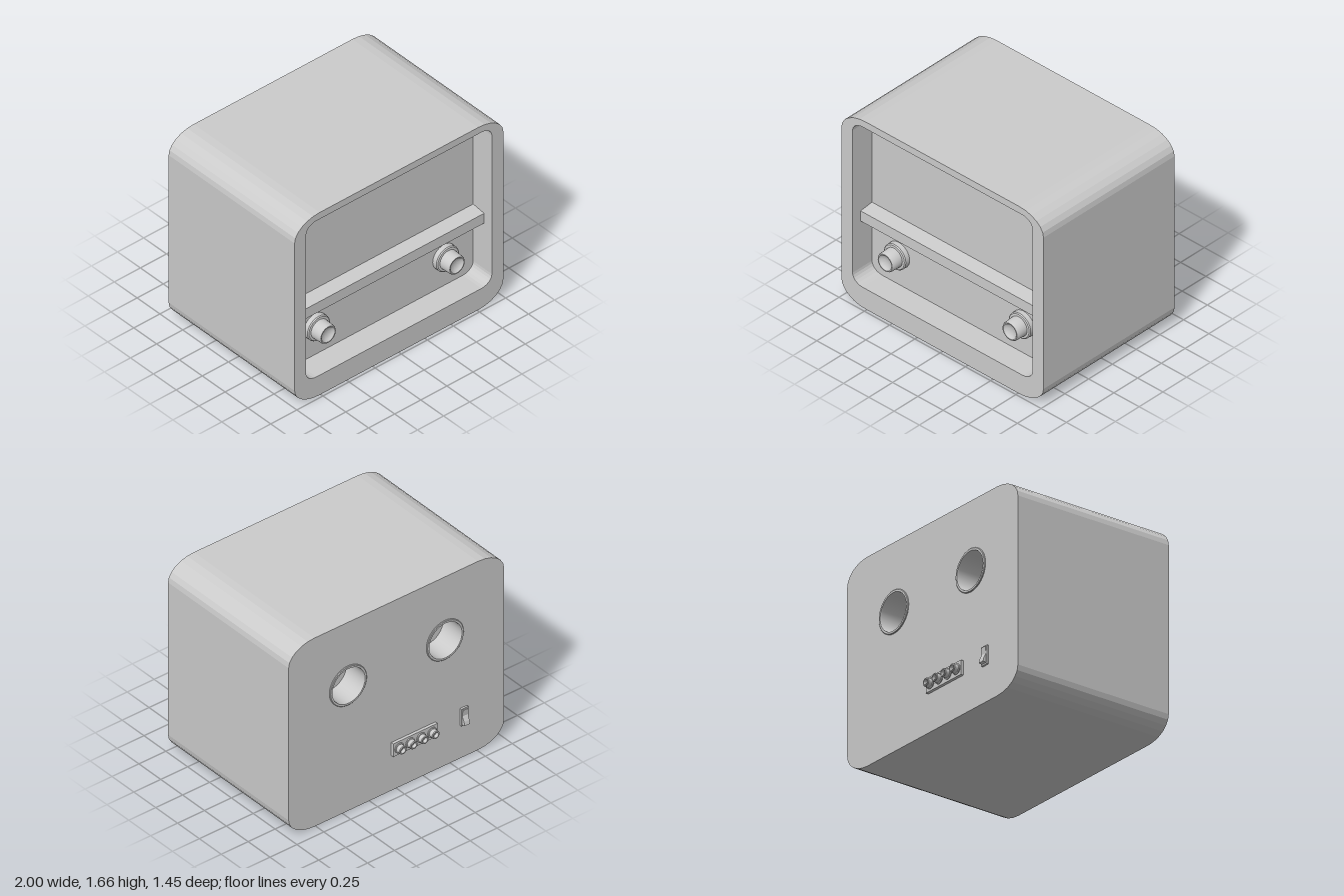
import * as THREE from 'three';
import { toCreasedNormals } from 'three/addons/utils/BufferGeometryUtils.js';

const FRONT = 0.725, BACK = -0.655, PANEL = 0.52, PORT_END = -0.455;
const material = new THREE.MeshStandardMaterial({ color: 0xcccccc });

function add(parent, name, geometry, x = 0, y = 0, z = 0) {
  const mesh = new THREE.Mesh(geometry, material);
  mesh.name = name;
  mesh.position.set(x, y, z);
  parent.add(mesh);
  return mesh;
}

// Counter-clockwise rectangle with elliptical corners
function roundedOutline(halfW, y0, y1, rx, ry, steps) {
  const points = [];
  const corners = [[1, y1 - ry], [-1, y1 - ry], [-1, y0 + ry], [1, y0 + ry]];
  corners.forEach(([side, cy], q) => {
    for (let i = 0; i <= steps; i++) {
      const a = (q + i / steps) * Math.PI / 2;
      points.push(new THREE.Vector2(side * (halfW - rx) + rx * Math.cos(a), cy + ry * Math.sin(a)));
    }
  });
  return points;
}

function circle(cx, cy, r, n = 32) {
  return Array.from({ length: n }, (_, i) => {
    const a = i / n * Math.PI * 2;
    return new THREE.Vector2(cx + r * Math.cos(a), cy + r * Math.sin(a));
  });
}

// Strip of walls along an outline, facing outward or inward
function wall(outline, z0, z1, inward, crease) {
  const v = [];
  outline.forEach((a, i) => {
    const b = outline[(i + 1) % outline.length];
    const [p, q] = inward ? [b, a] : [a, b];
    v.push(p.x, p.y, z0, q.x, q.y, z0, q.x, q.y, z1, p.x, p.y, z0, q.x, q.y, z1, p.x, p.y, z1);
  });
  const g = new THREE.BufferGeometry();
  g.setAttribute('position', new THREE.Float32BufferAttribute(v, 3));
  g.computeVertexNormals();
  return crease ? toCreasedNormals(g, crease) : g;
}

function face(outline, holes = []) {
  const shape = new THREE.Shape(outline);
  holes.forEach(h => shape.holes.push(new THREE.Path(h)));
  return new THREE.ShapeGeometry(shape);
}

// Turned part whose axis points to the front (dir 1) or the back (dir -1)
function turned(profile, dir, segments = 28) {
  const g = new THREE.LatheGeometry(profile.map(([r, h]) => new THREE.Vector2(r, h)), segments);
  g.rotateX(dir * Math.PI / 2);
  return toCreasedNormals(g, 0.6);
}

// Side profile given as [z, y], extruded along x about its middle
function bar(profile, width) {
  const shape = new THREE.Shape(profile.map(([z, y]) => new THREE.Vector2(-z, y)));
  const g = new THREE.ExtrudeGeometry(shape, { depth: width, bevelEnabled: false });
  g.translate(0, 0, -width / 2);
  g.rotateY(Math.PI / 2).rotateY(Math.PI);
  g.rotateY(Math.PI);
  return g;
}

export function createModel() {
  const model = new THREE.Group();
  model.name = 'tabletopSpeaker';

  // Cabinet: hollowed front, two ports in the back
  const cabinet = new THREE.Group();
  cabinet.name = 'cabinet';
  model.add(cabinet);
  const outer = roundedOutline(1, 0, 1.665, 0.24, 0.16, 6);
  const recess = roundedOutline(0.89, 0.18, 1.605, 0.1, 0.08, 6);
  const ports = [-0.45, 0.45].map(x => circle(x, 1.11, 0.15));
  add(cabinet, 'cabinetShell', wall(outer, BACK, FRONT, false));
  add(cabinet, 'frontFrame', face(outer, [recess]), 0, 0, FRONT);
  add(cabinet, 'recessWall', wall(recess, PANEL, FRONT, true));
  add(cabinet, 'frontPanel', face(recess), 0, 0, PANEL);
  add(cabinet, 'backPanel', face(outer, ports), 0, 0, BACK).rotation.y = Math.PI;

  // Port tubes with raised rims
  ports.forEach((port, i) => {
    const x = i ? 0.45 : -0.45;
    add(cabinet, 'portTube', wall(port, BACK, PORT_END, true, 0.6));
    add(cabinet, 'portEnd', face(port), 0, 0, PORT_END).rotation.y = Math.PI;
    cabinet.children.at(-1).position.x = 0;
    add(cabinet, 'portRim', turned([[0.172, 0], [0.172, 0.006], [0.167, 0.01], [0.152, 0.01], [0.15, 0]], -1, 32), x, 1.11, BACK);
  });

  // Ledge across the front panel
  add(model, 'ledge', bar([[PANEL, 0.66], [0.64, 0.675], [0.64, 0.765], [PANEL, 0.78]], 1.78));

  // Dished control knobs
  const knob = [[0.108, 0], [0.108, 0.04], [0.1, 0.048], [0.082, 0.05], [0.078, 0.135],
    [0.072, 0.145], [0.064, 0.145], [0.05, 0.13], [0.025, 0.122], [0, 0.12]];
  for (const x of [-0.625, 0.61]) add(model, 'controlKnob', turned(knob, 1), x, 0.445, PANEL);

  // Row of sockets on a back plate
  const sockets = new THREE.Group();
  sockets.name = 'socketRow';
  model.add(sockets);
  add(sockets, 'socketPlate', new THREE.BoxGeometry(0.41, 0.115, 0.024), -0.158, 0.367, BACK - 0.012);
  const socket = [[0.042, 0.02], [0.042, 0.032], [0.034, 0.034], [0.034, 0.066], [0.03, 0.071],
    [0.022, 0.071], [0.018, 0.045], [0, 0.045]];
  for (let i = 0; i < 4; i++) add(sockets, 'socket', turned(socket, -1, 20), -0.313 + i * 0.102, 0.367, BACK);

  // Rocker switch
  add(model, 'switchFrame', new THREE.BoxGeometry(0.066, 0.15, 0.016), -0.624, 0.365, BACK - 0.008);
  const rocker = bar([[BACK, 0.3], [BACK - 0.045, 0.305], [BACK - 0.038, 0.335], [BACK - 0.018, 0.375],
    [BACK - 0.024, 0.43], [BACK, 0.43]], 0.05);
  add(model, 'switchRocker', rocker, -0.624);

  return model;
}
